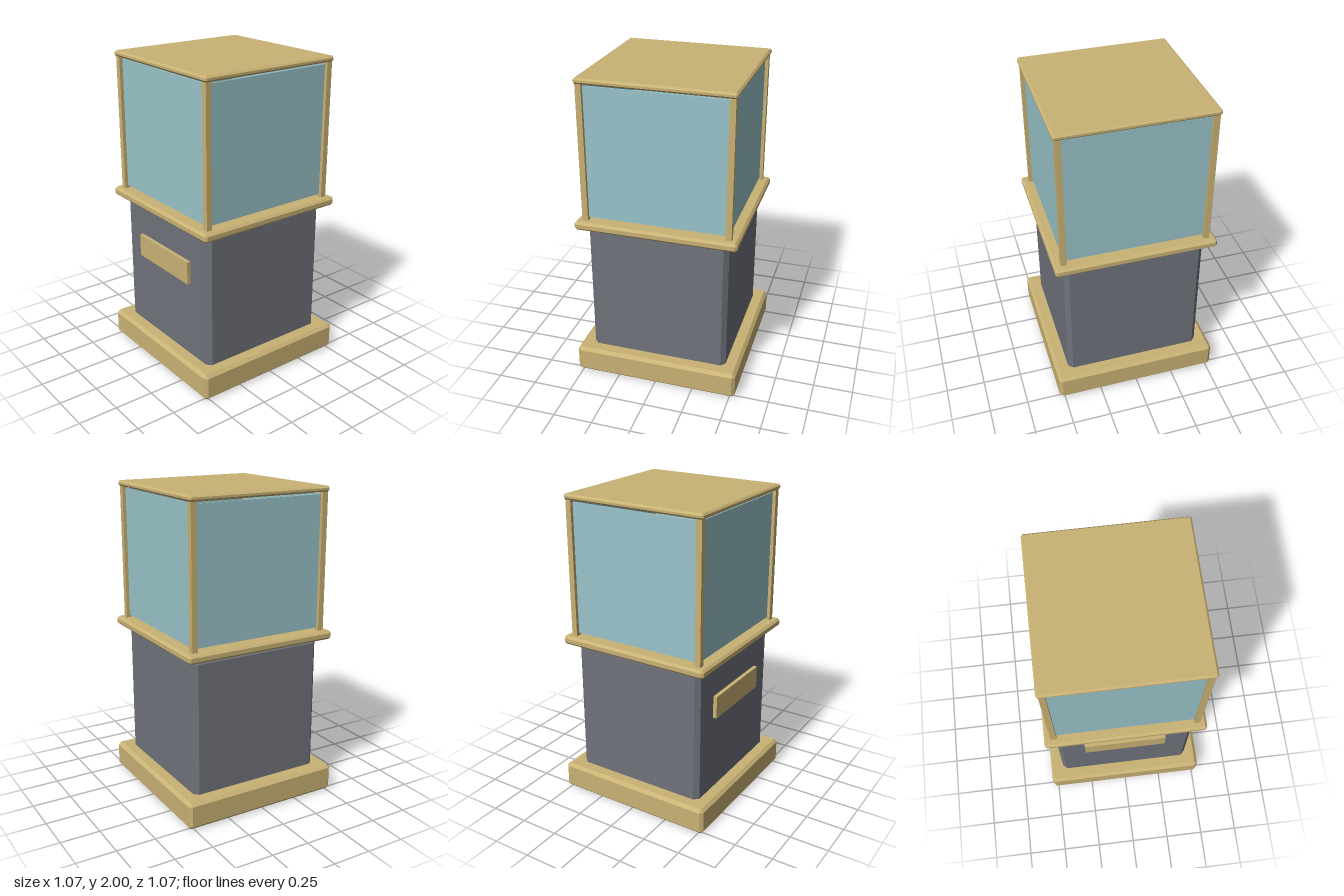
import * as THREE from 'three';
import { ConvexGeometry } from 'three/addons/geometries/ConvexGeometry.js';

// Box with every edge cut flat by c, standing from y0 to y1
function chamferBox(half, y0, y1, c) {
  const h = (y1 - y0) / 2;
  const points = [];
  for (const x of [-1, 1]) for (const y of [-1, 1]) for (const z of [-1, 1]) {
    points.push(
      new THREE.Vector3(x * half, y * (h - c), z * (half - c)),
      new THREE.Vector3(x * (half - c), y * h, z * (half - c)),
      new THREE.Vector3(x * (half - c), y * (h - c), z * half));
  }
  return new ConvexGeometry(points).translate(0, (y0 + y1) / 2, 0);
}

export function createModel() {
  const brass = new THREE.MeshStandardMaterial({ color: 0xc9b274 });
  brass.name = 'brass';
  const slate = new THREE.MeshStandardMaterial({ color: 0x70737c });
  slate.name = 'slate';
  const glass = new THREE.MeshStandardMaterial({ color: 0x99c4ca });
  glass.name = 'glass';

  const model = new THREE.Group();
  model.name = 'displayCase';
  const add = (name, geometry, material, x = 0, y = 0, z = 0) => {
    const mesh = new THREE.Mesh(geometry, material);
    mesh.name = name;
    mesh.position.set(x, y, z);
    model.add(mesh);
    return mesh;
  };

  // Pedestal
  add('base', chamferBox(0.533, 0, 0.175, 0.02), brass);
  add('pedestalBody', chamferBox(0.447, 0.13, 1.045, 0.029), slate);
  add('tableSlab', chamferBox(0.511, 1.045, 1.1, 0.014), brass);
  add('plaque', new THREE.BoxGeometry(0.534, 0.147, 0.03), brass, 0, 0.753, 0.457);

  // Showcase floor pad, corner posts and lid
  add('displayPad', new THREE.BoxGeometry(0.645, 0.014, 0.645), brass, 0, 1.106, 0);
  const post = new THREE.BoxGeometry(0.037, 0.87, 0.037);
  for (const x of [-1, 1]) for (const z of [-1, 1]) {
    add('cornerPost', post, brass, x * 0.451, 1.533, z * 0.451);
  }
  add('lid', chamferBox(0.48, 1.965, 2, 0.011), brass);

  // Four panes, with a slim gap above and below
  const pane = new THREE.BoxGeometry(0.87, 0.833, 0.01);
  for (let i = 0; i < 4; i++) {
    const a = i * Math.PI / 2;
    add('glassPane', pane, glass, Math.sin(a) * 0.443, 1.534, Math.cos(a) * 0.443).rotation.y = a;
  }
  return model;
}
